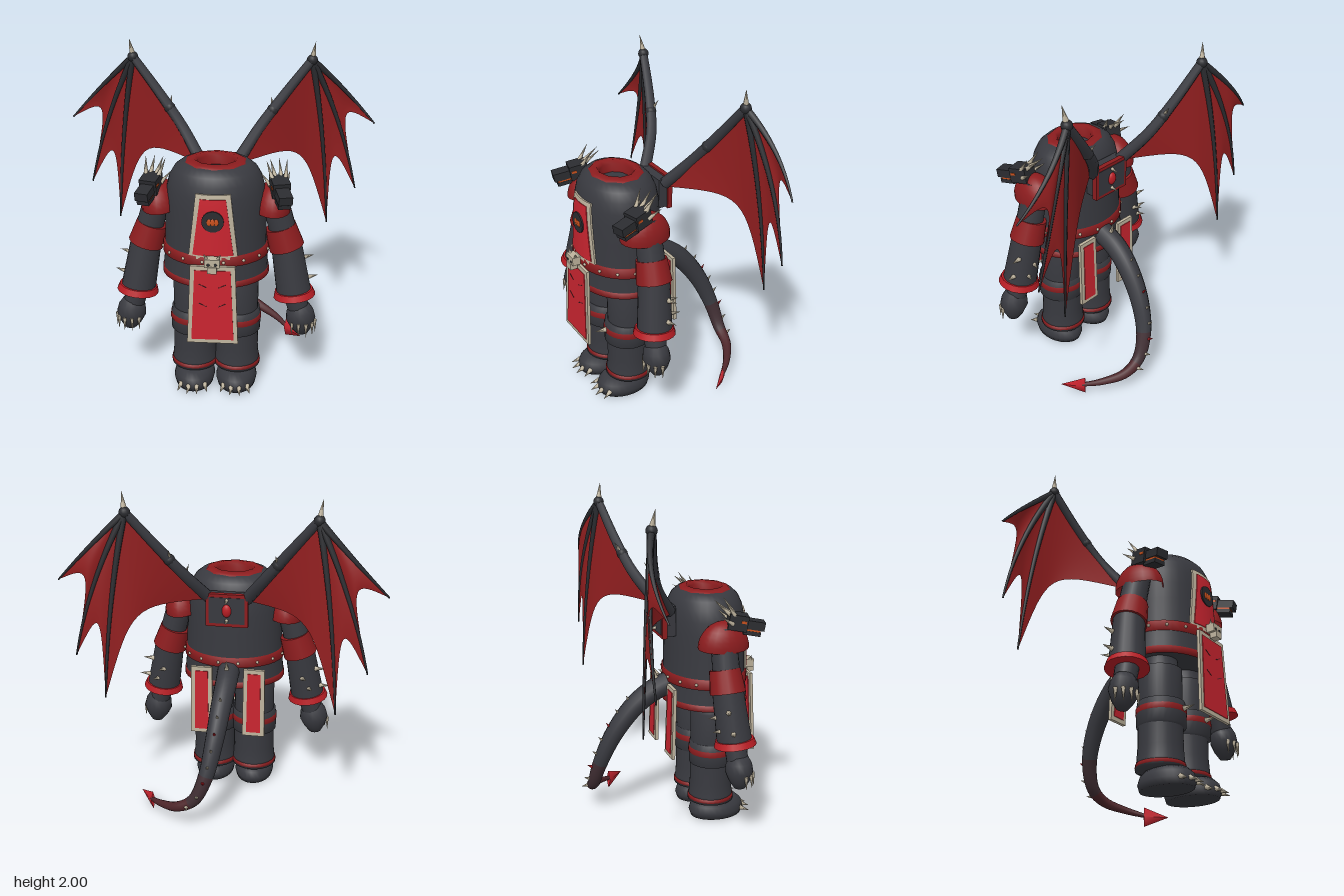
import * as THREE from 'three';
import { ParametricGeometry } from 'three/addons/geometries/ParametricGeometry.js';

const mat = (name, color, double) => {
  const m = new THREE.MeshStandardMaterial({ color });
  m.name = name;
  if (double) m.side = THREE.DoubleSide;
  return m;
};
const V = (x, y, z) => new THREE.Vector3(x, y, z);
const UP = V(0, 1, 0);
const CZ = 0.2075, DEPTH = 0.82; // body axis and front-to-back squash

export function createModel() {
  const M = {
    hide: mat('charcoal hide', 0x38393f, true),
    black: mat('black', 0x2b2c30),
    trim: mat('dark red trim', 0x8c1c1e, true),
    bright: mat('bright red', 0xb81d24),
    membrane: mat('wing red', 0x901e1f, true),
    cloth: mat('crimson cloth', 0xc8242f),
    bone: mat('bone', 0xbeb39d),
    maroon: mat('maroon', 0x4d2529),
    dusk: mat('dusky maroon', 0x3f2d32),
    orange: mat('orange', 0xc8501c),
  };
  const root = new THREE.Group();
  const add = (name, geo, m, parent = root) => {
    const mesh = new THREE.Mesh(geo, m);
    mesh.name = name;
    parent.add(mesh);
    return mesh;
  };
  // Cylinder or cone between two points
  const limb = (name, a, b, r0, r1, m, parent = root, sides = 18) => {
    const d = b.clone().sub(a);
    const mesh = add(name, new THREE.CylinderGeometry(r1, r0, d.length(), sides), m, parent);
    mesh.position.copy(a).addScaledVector(d, 0.5);
    mesh.quaternion.setFromUnitVectors(UP, d.normalize());
    return mesh;
  };
  const spike = (name, a, b, r, parent = root, m = M.bone) => limb(name, a, b, r, 0, m, parent, 6);
  const lathe = (name, pts, m, x, z, scaleZ = 1, sides = 28) => {
    const mesh = add(name, new THREE.LatheGeometry(pts.map(p => new THREE.Vector2(...p)), sides), m);
    mesh.position.set(x, 0, z);
    mesh.scale.z = scaleZ;
    return mesh;
  };
  const box = (name, w, h, d, x, y, z, m, parent = root) => {
    const mesh = add(name, new THREE.BoxGeometry(w, h, d), m, parent);
    mesh.position.set(x, y, z);
    return mesh;
  };
  const ball = (name, rx, ry, rz, p, m) => {
    const mesh = add(name, new THREE.SphereGeometry(1, 16, 10), m);
    mesh.scale.set(rx, ry, rz);
    mesh.position.copy(p);
    return mesh;
  };
  // Tube whose radius follows a rule
  const taperTube = (name, curve, n, radius, m, sides = 8) => {
    const g = new THREE.TubeGeometry(curve, n, 1, sides);
    const p = g.attributes.position, v = V(0, 0, 0);
    for (let i = 0; i < p.count; i++) {
      const t = Math.floor(i / (sides + 1)) / n, c = curve.getPointAt(t);
      v.fromBufferAttribute(p, i).sub(c).multiplyScalar(radius(t)).add(c);
      p.setXYZ(i, v.x, v.y, v.z);
    }
    return add(name, g, m);
  };

  // Torso, neck collar, belt and hem
  const body = [[0.308, 0.76], [0.303, 0.83], [0.296, 0.92], [0.291, 1.1], [0.287, 1.2], [0.28, 1.28],
    [0.264, 1.345], [0.236, 1.395], [0.194, 1.428], [0.13, 1.436]];
  lathe('torso', body, M.hide, 0, CZ, DEPTH, 36);
  lathe('collar', [[0.183, 1.425], [0.165, 1.44], [0.125, 1.446], [0.108, 1.425], [0.104, 1.36]], M.trim, 0, CZ, 0.86, 10);
  lathe('neckFloor', [[0.13, 1.375], [0, 1.375]], M.hide, 0, CZ, DEPTH);
  lathe('torsoBase', [[0, 0.765], [0.305, 0.765]], M.hide, 0, CZ, DEPTH);
  lathe('hem', [[0.29, 0.752], [0.313, 0.752], [0.31, 0.788], [0.29, 0.788]], M.trim, 0, CZ, DEPTH, 36);
  lathe('belt', [[0.28, 0.885], [0.309, 0.885], [0.306, 0.945], [0.28, 0.945]], M.trim, 0, CZ, DEPTH, 36);
  for (let i = 0; i < 16; i++) {
    const a = (i + 0.5) / 16 * Math.PI * 2;
    ball('beltStud', 0.009, 0.009, 0.009, V(0.309 * Math.sin(a), 0.915, CZ + 0.254 * Math.cos(a)), M.bone);
  }

  // Skull buckle
  box('buckleSkull', 0.084, 0.05, 0.05, 0, 0.938, 0.498, M.bone);
  box('buckleJaw', 0.052, 0.04, 0.045, 0, 0.9, 0.508, M.bone);
  for (const s of [-1, 1]) {
    spike('buckleHorn', V(0.032 * s, 0.955, 0.5), V(0.048 * s, 0.992, 0.505), 0.012);
    ball('buckleEye', 0.009, 0.008, 0.004, V(0.02 * s, 0.932, 0.523), M.black);
  }

  // Cloth panels: bone border board with a crimson field showing on both faces
  const panel = (name, x0, yTop, yLow, wTop, wLow, thick, zAt) => {
    const board = (part, inset, depth, m) => {
      const g = new THREE.BoxGeometry(1, 1, depth, 6, 10, 1), p = g.attributes.position;
      for (let i = 0; i < p.count; i++) {
        const t = 0.5 - p.getY(i);
        const y = THREE.MathUtils.lerp(yTop - inset, yLow + inset, t);
        const x = x0 + p.getX(i) * 2 * (THREE.MathUtils.lerp(wTop, wLow, t) - inset);
        p.setXYZ(i, x, y, zAt(x, y) + p.getZ(i));
      }
      g.computeVertexNormals();
      add(name + part, g, m);
    };
    board('Border', 0, thick, M.bone);
    board('Field', 0.025, thick + 0.008, M.cloth);
  };
  const onChest = (x, y) => {
    const i = Math.max(1, body.findIndex(b => b[1] >= y));
    const [r0, y0] = body[i - 1], [r1, y1] = body[i];
    const r = r0 + (r1 - r0) * (y - y0) / (y1 - y0);
    return CZ + DEPTH * Math.sqrt(r * r - x * x) + 0.003;
  };
  const frontZ = (x, y) => 0.47 + (0.9 - y) * 0.03;
  panel('chestPanel', 0, 1.315, 0.93, 0.097, 0.14, 0.012, onChest);
  panel('frontPanel', 0, 0.9, 0.412, 0.127, 0.147, 0.018, frontZ);
  for (const s of [-1, 1])
    panel('rearPanel', 0.16 * s, 0.885, 0.45, 0.064, 0.068, 0.02, (x, y) => -0.05 - (0.89 - y) * 0.03);
  const disc = add('chestMedallion', new THREE.CylinderGeometry(0.062, 0.062, 0.008, 20), M.black);
  disc.rotation.x = Math.PI / 2;
  disc.position.set(0, 1.165, onChest(0, 1.165) + 0.012);
  for (const x of [-0.02, 0, 0.02])
    ball('medallionInlay', 0.013, 0.02, 0.004, V(x, 1.163, onChest(0, 1.165) + 0.016), M.orange);
  for (const s of [-1, 1]) for (const y of [0.66, 0.78])
    box('panelStitch', 0.05, 0.004, 0.004, 0.055 * s, y, frontZ(0, y) + 0.013, M.maroon).rotation.z = 0.45 * s;

  // Back plate with gem and spikes
  box('backPlateBase', 0.23, 0.18, 0.06, 0, 1.27, -0.04, M.hide);
  box('backPlateFrame', 0.25, 0.2, 0.03, 0, 1.27, -0.08, M.trim);
  box('backPlate', 0.21, 0.16, 0.012, 0, 1.27, -0.092, M.hide);
  ball('backGem', 0.028, 0.04, 0.02, V(0, 1.27, -0.097), M.bright);
  for (const y of [1.21, 1.335]) spike('backPlateSpike', V(0, y, -0.09), V(0, y - 0.01, -0.145), 0.013);

  for (const s of [-1, 1]) {
    const P = (x, y, z) => V(x * s, y, z);

    // Leg, knee guard, bands and foot
    const lx = 0.128 * s, lz = 0.212;
    lathe('leg', [[0.1, 0.79], [0.1, 0.71], [0.126, 0.708], [0.124, 0.52], [0.127, 0.36], [0.127, 0.25], [0.133, 0.17],
      [0.141, 0.125], [0.09, 0.115]], M.hide, lx, lz);
    lathe('kneeGuard', [[0.11, 0.51], [0.134, 0.51], [0.141, 0.45], [0.139, 0.37], [0.11, 0.36]], M.hide, lx, lz + 0.006);
    lathe('kneeBand', [[0.135, 0.475], [0.142, 0.472], [0.144, 0.44], [0.135, 0.436]], M.trim, lx, lz + 0.006);
    lathe('ankleBand', [[0.125, 0.16], [0.138, 0.158], [0.142, 0.138], [0.13, 0.136]], M.trim, lx, lz);
    spike('kneeSpike', P(0.115, 0.455, 0.33), P(0.115, 0.465, 0.43), 0.024);
    lathe('foot', [[0, 0.012], [0.115, 0.012], [0.124, 0.05], [0.115, 0.09], [0.09, 0.122], [0, 0.127]], M.hide, lx, 0.25, 1.4);
    for (let i = 0; i < 4; i++) {
      const dx = (i - 1.5) * 0.046, z = 0.25 + 0.174 * Math.sqrt(1 - (dx / 0.124) ** 2);
      spike('toeClaw', P(0.128 + dx, 0.052, z - 0.012), P(0.128 + dx * 1.3, 0.03, z + 0.045), 0.017);
    }

    // Arm, cuffs and hand
    limb('upperArm', P(0.32, 1.26, 0.2), P(0.395, 0.98, 0.2), 0.075, 0.08, M.hide);
    limb('elbowBand', P(0.372, 1.035, 0.195), P(0.412, 0.905, 0.2), 0.09, 0.104, M.trim);
    limb('forearm', P(0.41, 0.92, 0.2), P(0.46, 0.635, 0.225), 0.09, 0.102, M.hide);
    limb('wristRing', P(0.461, 0.64, 0.227), P(0.466, 0.602, 0.23), 0.112, 0.124, M.bright);
    limb('wrist', P(0.466, 0.61, 0.23), P(0.497, 0.5, 0.235), 0.066, 0.062, M.hide);
    const hand = lathe('hand', [[0, -0.105], [0.035, -0.1], [0.066, -0.055], [0.088, 0], [0.08, 0.05], [0.058, 0.09], [0, 0.1]],
      M.hide, 0.508 * s, 0.24, 0.92, 16);
    hand.position.y = 0.455;
    hand.rotation.z = 0.12 * s;
    for (let i = 0; i < 5; i++) {
      const a = -0.75 + i * 0.55, c = Math.sin(a), d = Math.cos(a);
      spike('fingerClaw', P(0.512 + 0.08 * c, 0.45, 0.24 + 0.076 * d), P(0.512 + 0.085 * c, 0.365, 0.24 + 0.085 * d), 0.012);
    }
    for (const [x, y, z] of [[0.5, 0.82, 0.17], [0.53, 0.7, 0.19]])
      spike('forearmSpike', P(x, y, z), P(x + 0.075, y + 0.012, z - 0.02), 0.018);
    for (const [x, y, z] of [[0.43, 0.77, 0.13], [0.47, 0.7, 0.14]])
      spike('forearmSpike', P(x, y, z), P(x + 0.03, y + 0.012, z - 0.065), 0.016);

    // Shoulder guard
    const pad = add('shoulderGuard', new THREE.SphereGeometry(1, 20, 8, 0, Math.PI * 2, 0, Math.PI / 2), M.trim);
    pad.scale.set(0.108, 0.16, 0.152);
    pad.position.set(0.32 * s, 1.15, 0.205);
    pad.rotation.z = -0.08 * s;

    // Small beast head on the shoulder
    const head = new THREE.Group();
    head.name = 'shoulderBeastHead';
    head.position.set(0.36 * s, 1.3, 0.27);
    head.rotation.set(0.18, 0.25 * s, 0, 'YXZ');
    root.add(head);
    box('beastSkull', 0.1, 0.09, 0.11, 0, 0.01, 0, M.black, head);
    box('beastSnout', 0.078, 0.05, 0.11, 0, 0.008, 0.1, M.black, head);
    box('beastMouth', 0.068, 0.012, 0.09, 0, -0.022, 0.09, M.orange, head);
    box('beastJaw', 0.072, 0.024, 0.1, 0, -0.04, 0.09, M.black, head);
    for (const e of [-1, 1]) {
      box('beastEye', 0.006, 0.014, 0.03, 0.05 * e, 0.02, 0.03, M.orange, head);
      spike('beastHorn', V(0.036 * e, 0.04, -0.02), V(0.06 * e, 0.125, -0.1), 0.015, head);
      spike('beastHorn', V(0.016 * e, 0.04, -0.04), V(0.026 * e, 0.105, -0.15), 0.015, head);
      spike('beastCheekSpike', V(0.045 * e, 0, -0.03), V(0.085 * e, 0.04, -0.11), 0.014, head);
    }

    // Wing: arm, three fingers and scalloped membrane fanned from the wrist joint
    const J = P(0.53, 1.885, -0.288);
    const arm = new THREE.CatmullRomCurve3([P(0.11, 1.33, -0.05), P(0.23, 1.5, -0.165), P(0.36, 1.67, -0.23), J]);
    taperTube('wingArm', arm, 16, t => 0.037 - 0.011 * t, M.hide);
    ball('wingJoint', 0.032, 0.032, 0.032, J, M.black);
    ball('wingElbow', 0.034, 0.034, 0.034, arm.getPointAt(0.5), M.black);
    spike('wingTopSpike', P(0.532, 1.9, -0.287), P(0.547, 2, -0.272), 0.019);
    spike('wingElbowSpike', arm.getPointAt(0.5), arm.getPointAt(0.5).add(P(-0.01, 0.07, -0.05)), 0.016);
    const rays = [
      [P(0.728, 1.7, -0.39), P(0.92, 1.49, -0.325)],
      [P(0.73, 1.5, -0.385), P(0.83, 1.05, -0.365)],
      [P(0.63, 1.4, -0.36), P(0.665, 0.8, -0.385)],
      [P(0.3, 1.6, -0.22), P(0.14, 1.32, -0.055)],
    ];
    const notches = [P(0.708, 1.6, -0.38), P(0.67, 1.36, -0.37), P(0.5, 1.36, -0.33)];
    notches.forEach((notch, i) => {
      const [cA, eA] = rays[i], [cB, eB] = rays[i + 1];
      const edge = new THREE.CubicBezierCurve3(eA, notch, notch, eB);
      const g = new ParametricGeometry((u, v, out) => {
        const c = cA.clone().lerp(cB, v);
        new THREE.QuadraticBezierCurve3(J, c, edge.getPoint(v)).getPoint(0.01 + 0.99 * u, out);
      }, 12, 16);
      g.computeVertexNormals();
      add('wingMembrane', g, M.membrane);
      taperTube('wingFinger', new THREE.QuadraticBezierCurve3(J, cA, eA), 14, t => 0.021 - 0.016 * t, M.black, 6);
    });
  }

  // Tail darkening to maroon, with spikes and a flat arrow tip
  const tail = new THREE.CatmullRomCurve3([V(0, 0.86, -0.02), V(0, 0.81, -0.13), V(0.01, 0.72, -0.24), V(0.03, 0.55, -0.36),
    V(0.07, 0.35, -0.44), V(0.14, 0.2, -0.462), V(0.24, 0.14, -0.45), V(0.36, 0.1, -0.37), V(0.44, 0.07, -0.28)]);
  const N = 48, S = 12;
  const tube = taperTube('tail', tail, N, t => 0.068 - 0.02 * t - 0.036 * t * t, [M.hide, M.dusk, M.maroon], S);
  tube.geometry.clearGroups();
  [[0, 26], [26, 34], [34, N]].forEach(([a, b], i) => tube.geometry.addGroup(a * S * 6, (b - a) * S * 6, i));
  spike('tailRootSpike', V(0, 0.86, -0.085), V(0, 0.965, -0.115), 0.022);
  for (let i = 0; i < 8; i++) {
    const t = 0.2 + i * 0.075, p = tail.getPointAt(t), d = tail.getTangentAt(t);
    const out = V(0, -d.z, d.y).normalize(), r = 0.06 - 0.03 * t;
    spike('tailSpike', p.clone().addScaledVector(out, r * 0.7), p.clone().addScaledVector(out, r + 0.035).addScaledVector(d, -0.015),
      0.014, root, i % 3 === 2 ? M.bright : M.bone);
  }
  const tip = add('tailTip', new THREE.ConeGeometry(0.06, 0.15, 4), M.cloth);
  tip.geometry.scale(1, 1, 0.25);
  const dir = V(0.65, 0, 0.76).normalize();
  tip.quaternion.setFromRotationMatrix(new THREE.Matrix4().makeBasis(UP, dir, UP.clone().cross(dir)));
  tip.position.set(0.476, 0.065, -0.236);
  return root;
}
